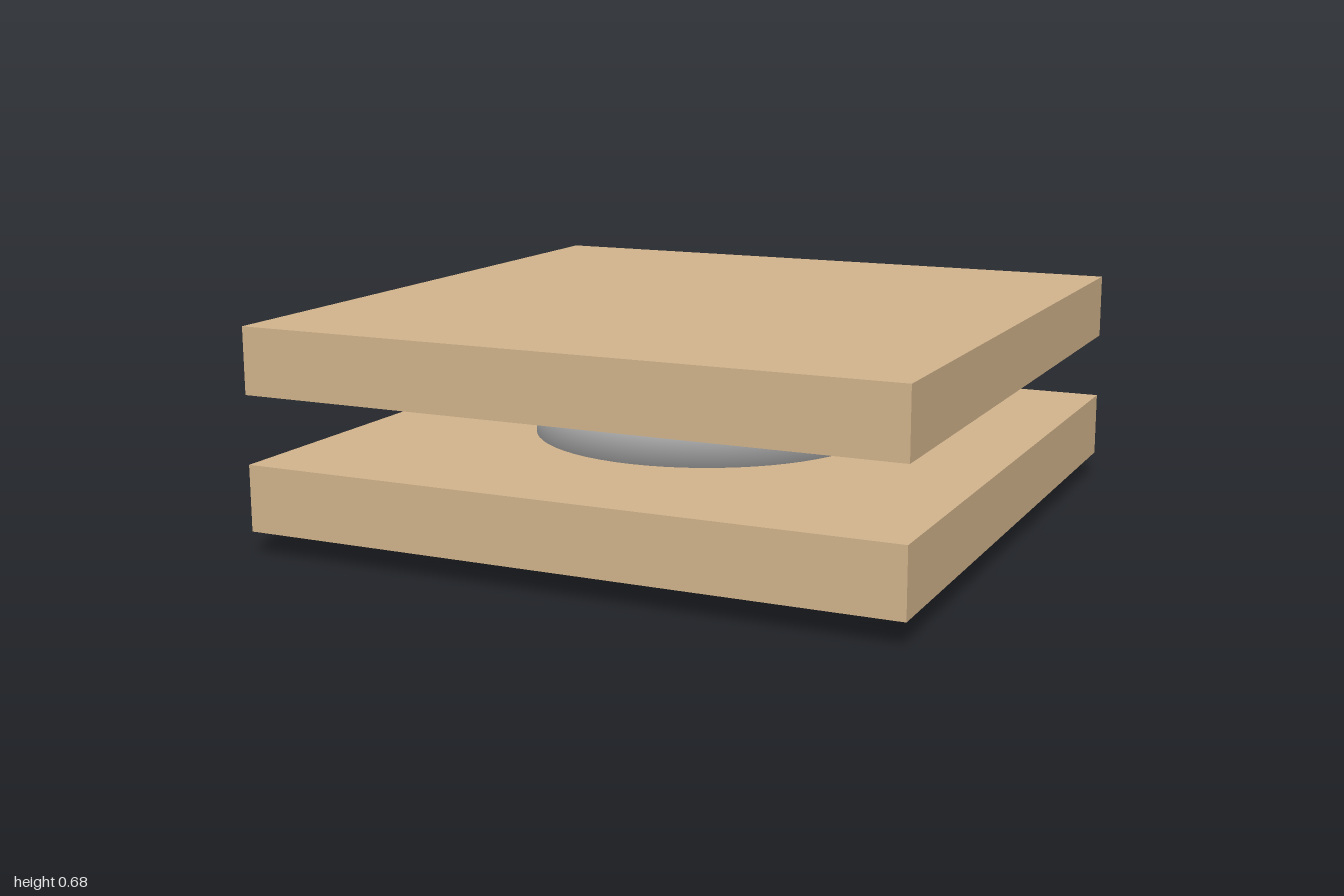
import * as THREE from 'three';
import { mergeVertices } from 'three/addons/utils/BufferGeometryUtils.js';

const wood = new THREE.MeshStandardMaterial({ color: 0xd2b48c });
wood.name = 'tan wood';
const metal = new THREE.MeshStandardMaterial({ color: 0xdddddd });
metal.name = 'light grey metal';

function addMesh(group, name, geometry, material, x, y, z) {
  const mesh = new THREE.Mesh(geometry, material);
  mesh.name = name;
  mesh.position.set(x, y, z);
  group.add(mesh);
  return mesh;
}

// Square outline of the given half width
function square(half, Type = THREE.Shape) {
  return new Type().setFromPoints([
    new THREE.Vector2(-half, -half), new THREE.Vector2(half, -half),
    new THREE.Vector2(half, half), new THREE.Vector2(-half, half),
  ]);
}

// Horizontal slab with a hole, its underside on y = 0
function slab(half, hole, height) {
  const shape = square(half);
  shape.holes.push(hole);
  const geometry = new THREE.ExtrudeGeometry(shape, {
    depth: height, bevelEnabled: false, curveSegments: 32,
  });
  return geometry.rotateX(-Math.PI / 2);
}

export function createModel() {
  const model = new THREE.Group();
  model.name = 'turntable';

  // Two square boards, the lower one bored through the middle
  const bore = new THREE.Path().absarc(0, 0, 0.088, 0, Math.PI * 2, true);
  addMesh(model, 'lowerBoard', slab(1, bore, 0.2), wood, 0, 0.072, 0);
  addMesh(model, 'upperBoard', new THREE.BoxGeometry(2, 0.2, 2), wood, 0, 0.578, 0);

  // Bearing drum between the boards, shaded softly over its rims
  let drum = new THREE.CylinderGeometry(0.534, 0.534, 0.206, 64);
  drum.deleteAttribute('normal');
  drum.deleteAttribute('uv');
  drum = mergeVertices(drum);
  drum.computeVertexNormals();
  addMesh(model, 'bearingDrum', drum, metal, 0, 0.375, 0);

  // Square frame under the lower board
  addMesh(model, 'baseFrame', slab(0.45, square(0.33, THREE.Path), 0.028), wood, 0, 0.044, 0);

  // Four round feet on the frame corners
  const foot = new THREE.CylinderGeometry(0.026, 0.026, 0.046, 20);
  for (const x of [-0.385, 0.385]) {
    for (const z of [-0.385, 0.385]) addMesh(model, 'foot', foot, wood, x, 0.023, z);
  }

  return model;
}
